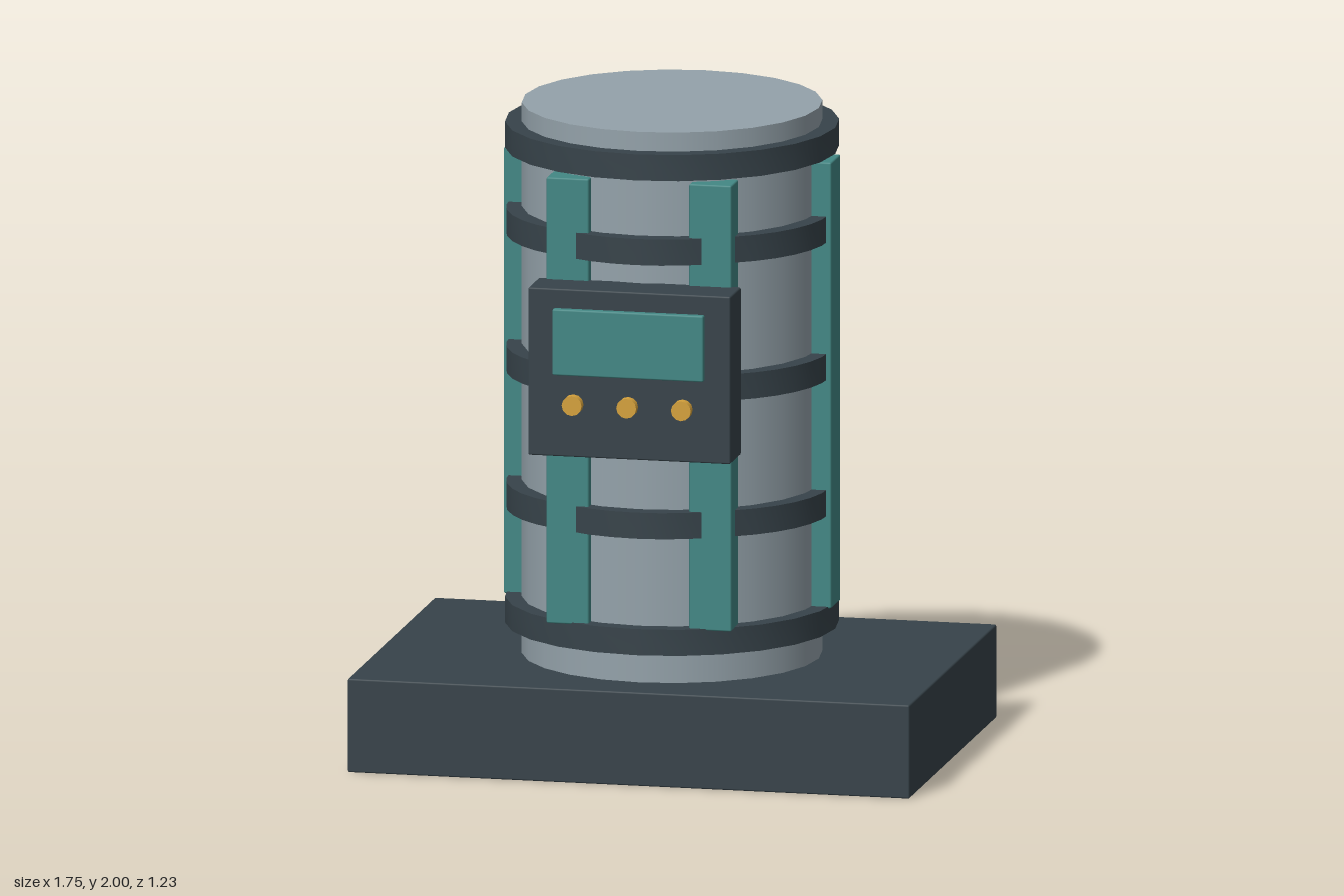
import * as THREE from 'three';
import { toCreasedNormals } from 'three/addons/utils/BufferGeometryUtils.js';
import { RoundedBoxGeometry } from 'three/addons/geometries/RoundedBoxGeometry.js';

const CZ = -0.012; // z of the tank axis
const TANK_R = 0.457, RING_R = 0.508, INNER_R = 0.44, BAND_H = 0.081;

function material(name, color) {
  const m = new THREE.MeshStandardMaterial({ color });
  m.name = name;
  return m;
}

// Points on an arc; radius may vary with t from -1 to 1
function arcPoints(radius, mid, half, steps) {
  return Array.from({ length: steps + 1 }, (_, i) => {
    const t = (2 * i) / steps - 1, a = mid + half * t, r = radius(t);
    return new THREE.Vector2(r * Math.cos(a), r * Math.sin(a));
  });
}

// Extrudes a plan shape upward from y = 0
function bandGeometry(shape) {
  const g = new THREE.ExtrudeGeometry(shape, { depth: BAND_H, bevelEnabled: false });
  g.rotateX(-Math.PI / 2);
  return toCreasedNormals(g, Math.PI / 6);
}

export function createModel() {
  const model = new THREE.Group();
  const dark = material('dark slate', 0x37434a);
  const teal = material('teal', 0x438885);
  const grey = material('light steel', 0x94a2aa);
  const gold = material('brass', 0xd6a23c);

  function add(name, geometry, mat, x, y, z) {
    const mesh = new THREE.Mesh(geometry, mat);
    mesh.name = name;
    mesh.position.set(x, y, z);
    model.add(mesh);
    return mesh;
  }
  const box = (w, h, d) => new RoundedBoxGeometry(w, h, d, 1, 0.005);

  // Plinth and tank
  add('base', box(1.75, 0.29, 1.206), dark, 0, 0.145, -0.011);
  add('tank', new THREE.CylinderGeometry(TANK_R, TANK_R, 1.72, 24), grey, 0, 1.14, CZ);

  // Closed hoops at the bottom and top
  const hoopShape = new THREE.Shape(arcPoints(() => RING_R, 0, Math.PI, 24).slice(0, -1));
  hoopShape.holes.push(new THREE.Path(arcPoints(() => INNER_R, 0, Math.PI, 24).slice(0, -1).reverse()));
  const hoop = bandGeometry(hoopShape);
  add('bottomHoop', hoop, dark, 0, 0.385, CZ);
  add('topHoop', hoop, dark, 0, 1.86, CZ);

  // Broken hoops: six slightly flattened arcs at each level
  const half = THREE.MathUtils.degToRad(25.9);
  const outer = arcPoints((t) => RING_R - 0.01 * t * t, 0, half, 6);
  const inner = arcPoints(() => INNER_R, 0, half, 6).reverse();
  const arc = bandGeometry(new THREE.Shape([...outer, ...inner]));
  for (const y of [0.747, 1.17, 1.597]) {
    for (let i = 0; i < 6; i++) {
      add('hoopSegment', arc, dark, 0, y, CZ).rotation.y = Math.PI / 6 + (i * Math.PI) / 3;
    }
  }

  // Upright ribs: one on each side, two at the front and two at the back
  for (const sx of [-1, 1]) {
    add('sideRib', box(0.1, 1.385, 0.13), teal, sx * 0.46, 1.153, CZ);
    for (const sz of [-1, 1]) {
      add(sz > 0 ? 'frontRib' : 'backRib', box(0.132, 1.385, 0.1), teal,
        sx * 0.222, 1.153, CZ + sz * 0.409);
    }
  }

  // Control box with screen and knobs
  add('controlBox', box(0.63, 0.52, 0.15), dark, 0, 1.27, 0.505);
  add('screen', box(0.47, 0.205, 0.03), teal, 0, 1.368, 0.587);
  const knob = new THREE.CylinderGeometry(0.031, 0.031, 0.028, 12).rotateX(Math.PI / 2);
  for (const x of [-0.17, 0, 0.17]) add('knob', knob, gold, x, 1.177, 0.607);

  return model;
}
